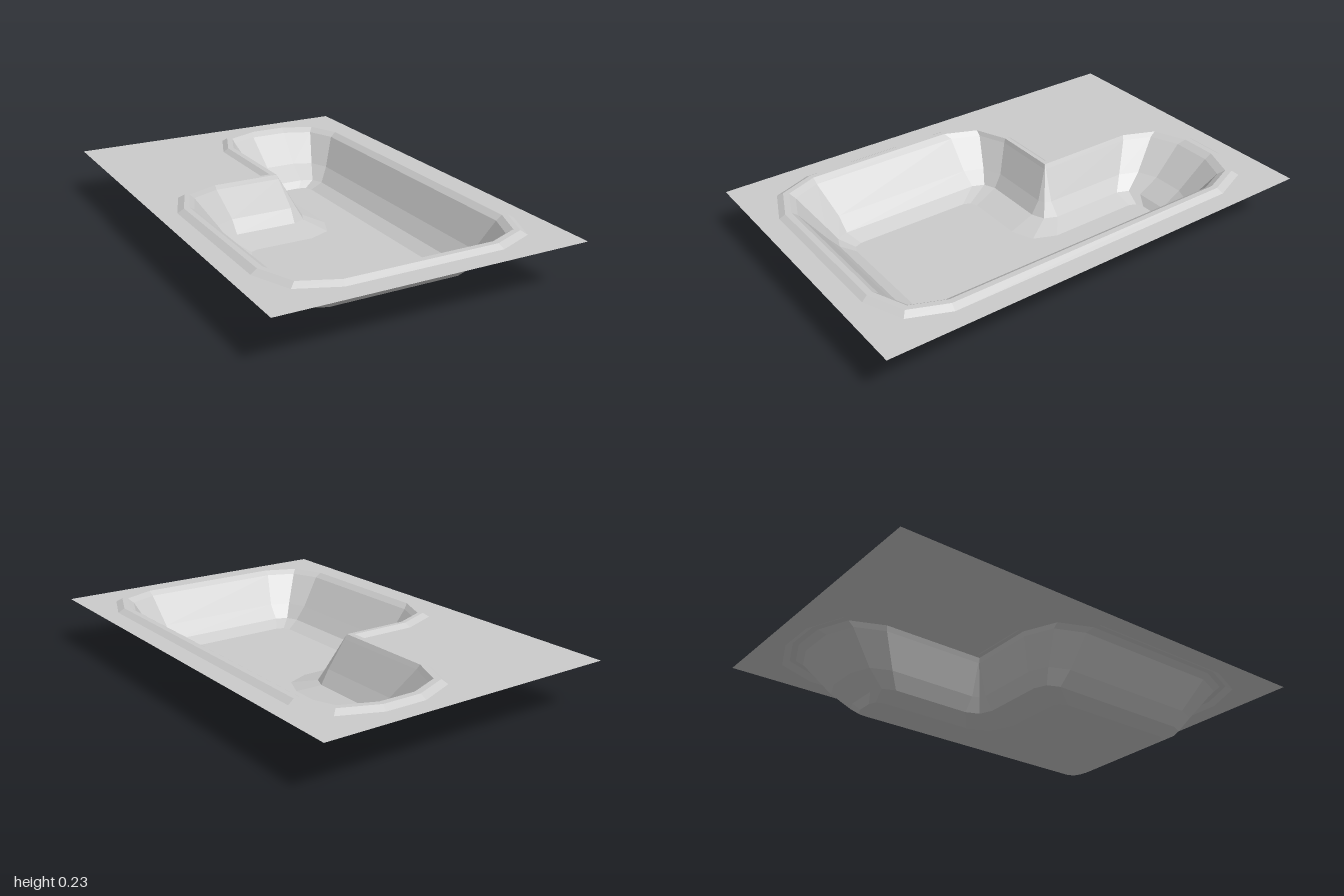
import * as THREE from 'three';

const DECK_Y = 0.217;

// Rings of the L-shaped pool, from the foot of the rim down to the floor:
// height, left/right x, front/back z, inner corner x/z, corner radius, inner corner radius
const RINGS = [
  { y: DECK_Y, xl: -0.58, xr: 0.58, zf: 0.91, zb: -0.915, ix: -0.08, iz: -0.25, r: 0.24, ir: 0 },
  { y: 0.234, xl: -0.552, xr: 0.552, zf: 0.885, zb: -0.888, ix: -0.058, iz: -0.226, r: 0.22, ir: 0 },
  { y: 0.234, xl: -0.528, xr: 0.528, zf: 0.86, zb: -0.862, ix: -0.033, iz: -0.207, r: 0.2, ir: 0 },
  { y: 0.215, xl: -0.5, xr: 0.5, zf: 0.835, zb: -0.83, ix: -0.022, iz: -0.2, r: 0.175, ir: 0.005 },
  { y: 0.09, xl: -0.4, xr: 0.43, zf: 0.74, zb: -0.7, ix: 0.045, iz: -0.145, r: 0.12, ir: 0.04 },
  { y: 0.03, xl: -0.35, xr: 0.38, zf: 0.69, zb: -0.61, ix: 0.085, iz: -0.11, r: 0.075, ir: 0.08 },
  { y: 0, xl: -0.285, xr: 0.325, zf: 0.63, zb: -0.585, ix: 0.165, iz: 0.015, r: 0.045, ir: 0.14 },
];

// Outline of one ring as (x, z), each corner cut by three points
function outline({ xl, xr, zf, zb, ix, iz, r, ir }) {
  const corners = [[xl, zf], [xr, zf], [xr, zb], [ix, zb], [ix, iz], [xl, iz]]
    .map(([x, z]) => new THREE.Vector2(x, z));
  return corners.flatMap((c, i) => {
    const radius = i === 4 ? ir : r;
    const inward = c.clone().sub(corners[(i + 5) % 6]).normalize();
    const outward = corners[(i + 1) % 6].clone().sub(c).normalize();
    return [
      c.clone().addScaledVector(inward, -radius),
      c.clone().addScaledVector(outward.clone().sub(inward), radius * 0.293),
      c.clone().addScaledVector(outward, radius),
    ];
  });
}

// Skin between consecutive rings
function loft(rings) {
  const positions = [];
  const index = [];
  rings.forEach((ring) => outline(ring).forEach((p) => positions.push(p.x, ring.y, p.y)));
  const n = 18;
  for (let k = 0; k < rings.length - 1; k++) {
    for (let i = 0; i < n; i++) {
      const a = k * n + i;
      const b = k * n + ((i + 1) % n);
      index.push(a, b, b + n, a, b + n, a + n);
    }
  }
  const geometry = new THREE.BufferGeometry();
  geometry.setAttribute('position', new THREE.Float32BufferAttribute(positions, 3));
  geometry.setIndex(index);
  geometry.computeVertexNormals();
  return geometry;
}

// Horizontal sheet from a shape whose y is -z
function sheet(shape, y) {
  return new THREE.ShapeGeometry(shape).rotateX(-Math.PI / 2).translate(0, y, 0);
}

export function createModel() {
  const group = new THREE.Group();
  group.name = 'pool';
  const material = new THREE.MeshStandardMaterial({
    color: 0xcccccc, flatShading: true, side: THREE.DoubleSide,
  });
  const add = (name, geometry) => {
    const mesh = new THREE.Mesh(geometry, material);
    mesh.name = name;
    group.add(mesh);
  };
  const flat = (ring) => outline(ring).map((p) => new THREE.Vector2(p.x, -p.y));

  // Thin deck with the pool opening
  const w = 0.665;
  const deck = new THREE.Shape([[-w, -1], [w, -1], [w, 1], [-w, 1]].map(([x, y]) => new THREE.Vector2(x, y)));
  deck.holes.push(new THREE.Path(flat(RINGS[0])));
  add('deck', sheet(deck, DECK_Y));

  // Raised rim, sloping walls and floor
  add('rim', loft(RINGS.slice(0, 4)));
  add('walls', loft(RINGS.slice(3)));
  add('floor', sheet(new THREE.Shape(flat(RINGS[6])), 0));

  return group;
}
